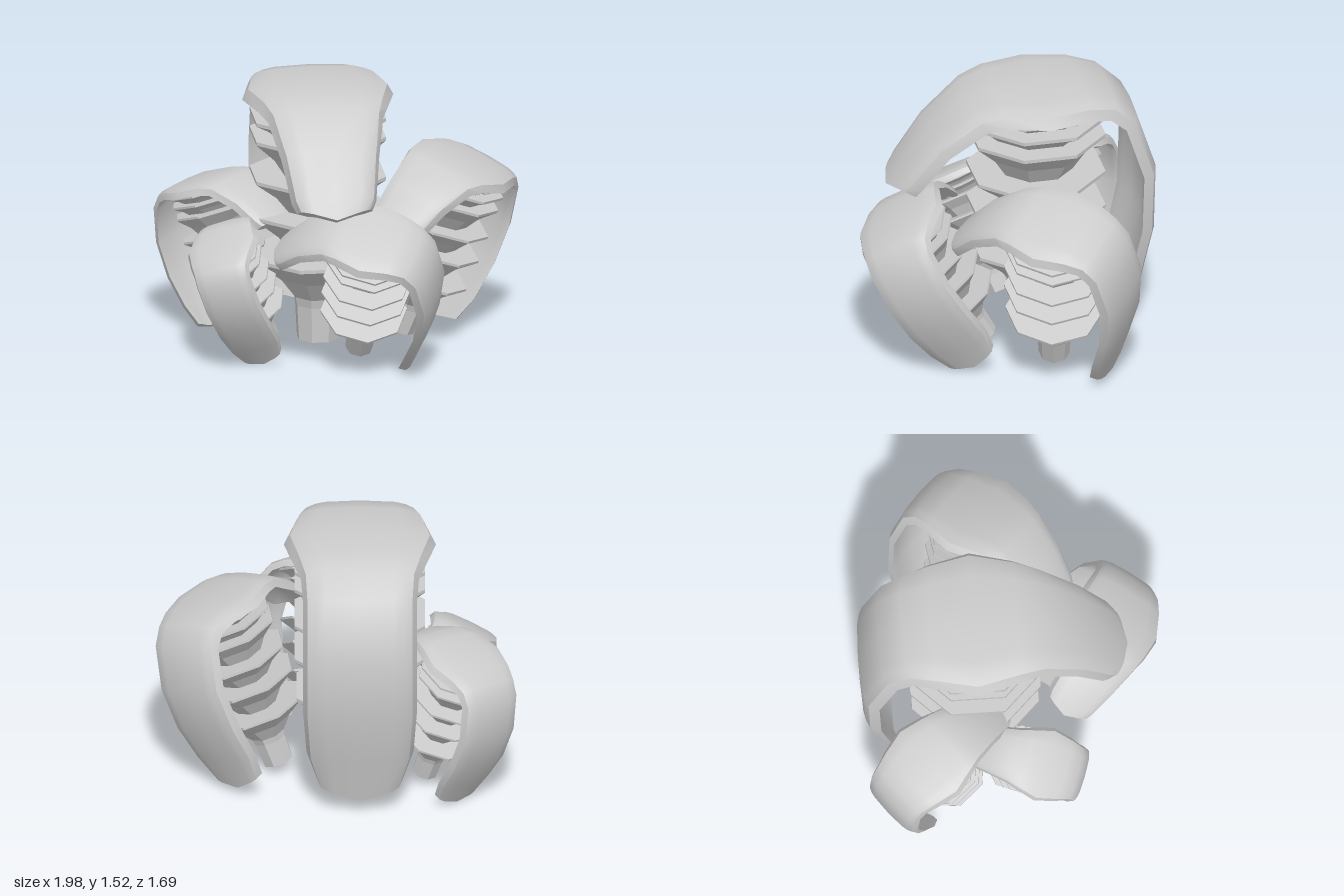
import * as THREE from 'three';
import { toCreasedNormals } from 'three/addons/utils/BufferGeometryUtils.js';

// Hood spine from front tip over the top to the rear foot: [z, y, half width]
const SPINE = [
  [0.85, 0.95, 0.21], [0.78, 1.06, 0.235], [0.62, 1.27, 0.27], [0.39, 1.45, 0.32],
  [0.24, 1.49, 0.36], [0, 1.49, 0.42], [-0.24, 1.49, 0.365], [-0.4, 1.45, 0.325],
  [-0.53, 1.33, 0.315], [-0.64, 0.99, 0.315], [-0.63, 0.63, 0.315], [-0.56, 0.32, 0.295],
  [-0.5, 0.05, 0.235],
];
// Hood cross-section: [fraction of half width, depth below the spine]
const OUTER = [[-0.92, 0.04], [-0.78, 0.02], [-0.6, 0.008], [0, 0], [0.6, 0.008], [0.78, 0.02], [0.92, 0.04]];
const INNER = [[-1, 0.1], [-0.78, 0.09], [-0.5, 0.06], [0, 0.05], [0.5, 0.06], [0.78, 0.09], [1, 0.1]];

// Arched, thick shell swept along the spine, with blunt pointed ends
function hoodGeometry() {
  const section = [...OUTER, ...INNER.slice().reverse()];
  const n = section.length, last = SPINE.length - 1;
  const positions = [], index = [];
  SPINE.forEach(([z, y, w], i) => {
    const a = SPINE[Math.max(i - 1, 0)], b = SPINE[Math.min(i + 1, last)];
    const len = Math.hypot(b[0] - a[0], b[1] - a[1]);
    const tz = (b[0] - a[0]) / len, ty = (b[1] - a[1]) / len;
    const end = i === 0 ? 1 : i === last ? -1 : 0;
    for (const [u, d] of section) {
      const pull = end * Math.abs(u) * 0.07;
      positions.push(u * w, y + tz * d + ty * pull, z - ty * d + tz * pull);
    }
  });
  const quad = (a, b, c, d) => index.push(a, b, c, a, c, d);
  for (let i = 0; i < last; i++) {
    for (let j = 0; j < n; j++) {
      const k = (j + 1) % n;
      quad(i * n + j, i * n + k, (i + 1) * n + k, (i + 1) * n + j);
    }
  }
  // end faces between outer and inner skins
  for (let j = 0; j < OUTER.length - 1; j++) {
    const p = n - 1 - j, o = last * n;
    quad(j, p, p - 1, j + 1);
    quad(o + j, o + j + 1, o + p - 1, o + p);
  }
  const g = new THREE.BufferGeometry();
  g.setAttribute('position', new THREE.Float32BufferAttribute(positions, 3));
  g.setIndex(index);
  return toCreasedNormals(g, 0.6);
}

// Eight-sided stem with flaring, sharp-edged gill plates
function stemGeometry() {
  const rings = [0.5, 0.75, 0.96, 1.19, 1.3, 1.39];
  const plates = [0.35, 0.36, 0.36, 0.36, 0.36, 0.36];
  const waists = [0.13, 0.15, 0.17, 0.19, 0.24, 0.25];
  const k = 1 / Math.cos(Math.PI / 8);
  const pts = [[0, 0], [0.11, 0], [0.12, 0.2]];
  rings.forEach((y, i) => {
    const y0 = i ? rings[i - 1] : 0.25;
    const w = waists[i], r = plates[i], h = y - 0.02 - y0;
    pts.push([w, y0], [w + 0.38 * (r - w), y0 + 0.5 * h], [r, y - 0.02], [r, y]);
  });
  pts.push([0, 1.39]);
  const profile = pts.map(([r, y]) => new THREE.Vector2(r * k, y));
  return new THREE.LatheGeometry(profile, 8, Math.PI / 8);
}

export function createModel() {
  const model = new THREE.Group();
  model.name = 'hoodedPlantCluster';
  const hoodMaterial = new THREE.MeshStandardMaterial({ color: 0xcccccc, side: THREE.DoubleSide });
  const stemMaterial = new THREE.MeshStandardMaterial({ color: 0xcccccc, flatShading: true });
  const hood = hoodGeometry(), stem = stemGeometry();

  // foot position, size, rear heading [x, z], lean heading [x, z], lean in degrees
  const plants = [
    { name: 'tallPlant', foot: [-0.14, 0.03, -0.2], size: 1, rear: [0.02, -1], lean: [0, -1], tilt: 0 },
    { name: 'leftPlant', foot: [0.31, 0.06, -0.19], size: 0.715, rear: [0.64, -0.77], lean: [1, 0.24], tilt: 20 },
    { name: 'frontPlant', foot: [0.04, 0.075, 0.14], size: 0.635, rear: [0.91, 0.41], lean: [0, 1], tilt: 32 },
    { name: 'rightPlant', foot: [-0.43, 0.085, -0.07], size: 0.495, rear: [-0.3, 0.95], lean: [-0.8, 0.58], tilt: 31 },
    { name: 'backPlant', foot: [-0.495, 0.06, -0.335], size: 0.59, rear: [-0.6, -0.8], lean: [-0.8, -0.6], tilt: 19 },
  ];
  const up = new THREE.Vector3(0, 1, 0);
  for (const { name, foot, size, rear, lean, tilt } of plants) {
    const plant = new THREE.Group();
    plant.name = name;
    const hoodMesh = new THREE.Mesh(hood, hoodMaterial);
    hoodMesh.name = 'hood';
    const stemMesh = new THREE.Mesh(stem, stemMaterial);
    stemMesh.name = 'stem';
    plant.add(hoodMesh, stemMesh);

    // turn the rear to its heading, then lean the whole plant outward
    const t = THREE.MathUtils.degToRad(tilt);
    const side = new THREE.Vector3(lean[1], 0, -lean[0]).normalize();
    const yaw = new THREE.Quaternion().setFromAxisAngle(up, Math.atan2(-rear[0], -rear[1]));
    plant.quaternion.setFromAxisAngle(side, t).multiply(yaw);
    plant.position.set(...foot);
    plant.scale.setScalar(size);
    model.add(plant);
  }
  return model;
}
